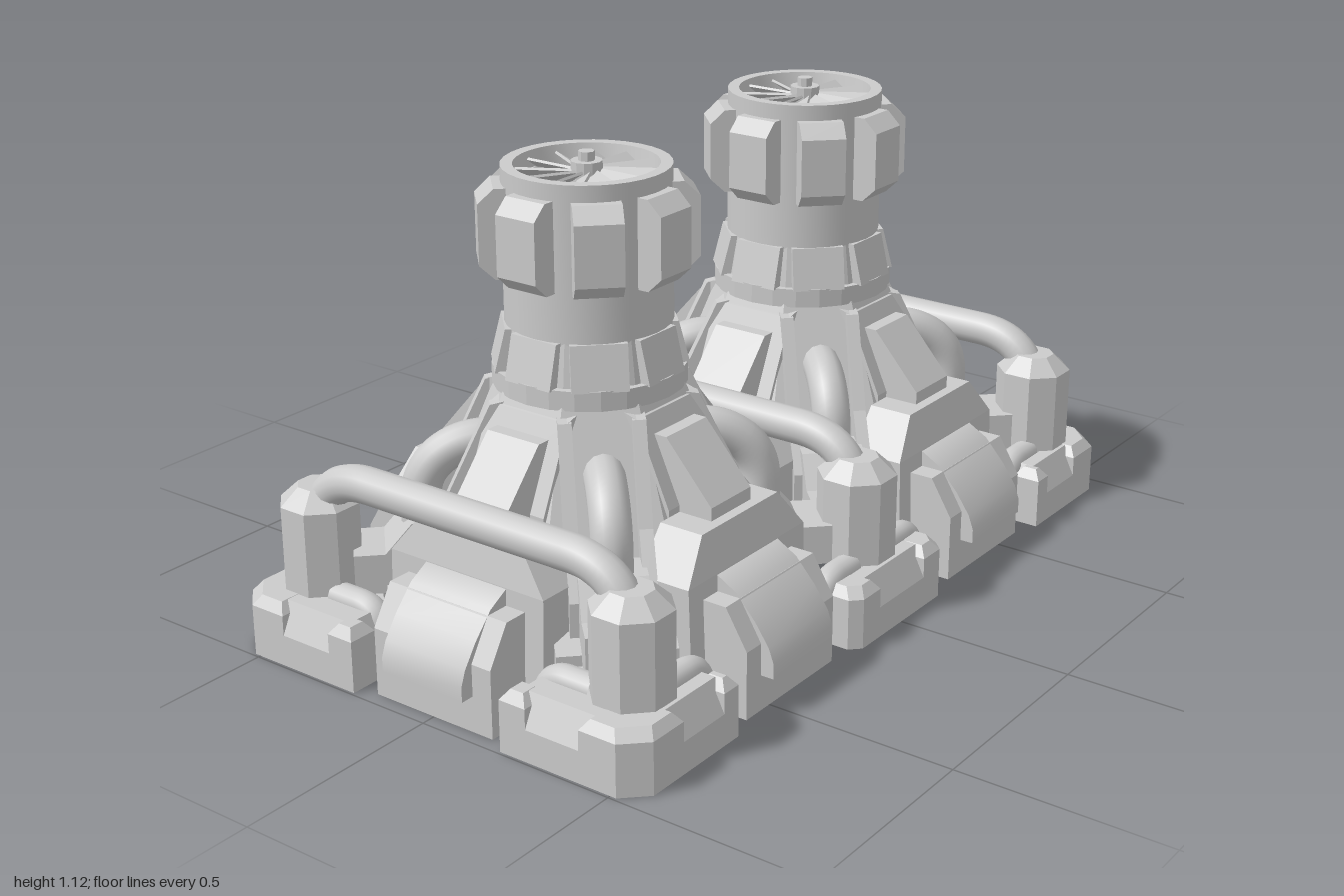
import * as THREE from 'three';
import { toCreasedNormals } from 'three/addons/utils/BufferGeometryUtils.js';
import { ConvexGeometry } from 'three/addons/geometries/ConvexGeometry.js';

const grey = new THREE.MeshStandardMaterial({ color: 0xcccccc });
const flat = new THREE.MeshStandardMaterial({ color: 0xcccccc, flatShading: true });
const thin = new THREE.MeshStandardMaterial({ color: 0xcccccc, flatShading: true, side: THREE.DoubleSide });
const V = (x, y, z) => new THREE.Vector3(x, y, z);

function add(parent, name, geometry, material = flat) {
  const mesh = new THREE.Mesh(geometry, material);
  mesh.name = name;
  parent.add(mesh);
  return mesh;
}

function group(parent, name, angle = 0) {
  const g = new THREE.Group();
  g.name = name;
  g.rotation.y = angle;
  parent.add(g);
  return g;
}

// Drops the triangles lying on the lowest level, leaving a hollow shell
function hollow(geometry) {
  const p = geometry.attributes.position;
  geometry.computeBoundingBox();
  const floor = geometry.boundingBox.min.y + 1e-4;
  const kept = [];
  for (let i = 0; i < p.count; i += 3)
    if (Math.max(p.getY(i), p.getY(i + 1), p.getY(i + 2)) > floor)
      for (let k = i; k < i + 3; k++) kept.push(p.getX(k), p.getY(k), p.getZ(k));
  const g = new THREE.BufferGeometry();
  g.setAttribute('position', new THREE.Float32BufferAttribute(kept, 3));
  g.computeVertexNormals();
  return g;
}

// Side profile of [outward, y] points, extruded across x and facing +z
function slice(profile, width, offset = 0) {
  const shape = new THREE.Shape(profile.map(p => new THREE.Vector2(...p)));
  const g = new THREE.ExtrudeGeometry(shape, { depth: width, bevelEnabled: false });
  return g.translate(0, 0, -width / 2).rotateY(-Math.PI / 2).translate(offset, 0, 0);
}

// Hollow slab over a convex [x, z] outline with a bevelled top edge
function slab(outline, baseY, edgeY, topY, inset) {
  const n = outline.length;
  const cx = outline.reduce((s, p) => s + p[0], 0) / n;
  const cz = outline.reduce((s, p) => s + p[1], 0) / n;
  const pull = (v, c) => v - Math.sign(v - c) * Math.min(inset, Math.abs(v - c));
  return hollow(new ConvexGeometry(outline.flatMap(([x, z]) =>
    [V(x, baseY, z), V(x, edgeY, z), V(pull(x, cx), topY, pull(z, cz))])));
}

// Tube along straight runs with rounded corners
function pipe(points, radius, bend, segments = 28) {
  const path = new THREE.CurvePath();
  let from = points[0];
  for (let i = 1; i < points.length - 1; i++) {
    const p = points[i];
    const a = p.clone().add(points[i - 1].clone().sub(p).setLength(bend));
    const b = p.clone().add(points[i + 1].clone().sub(p).setLength(bend));
    path.add(new THREE.LineCurve3(from, a));
    path.add(new THREE.QuadraticBezierCurve3(a, p, b));
    from = b;
  }
  path.add(new THREE.LineCurve3(from, points[points.length - 1]));
  return new THREE.TubeGeometry(path, segments, radius, 14, false);
}

function octagon(top, bottom, y0, y1, open = false) {
  const k = 1 / Math.cos(Math.PI / 8);
  return new THREE.CylinderGeometry(top * k, bottom * k, y1 - y0, 8, 1, open)
    .rotateY(Math.PI / 8).translate(0, (y0 + y1) / 2, 0);
}

// Buttress and housing on one face of a tower; outer faces also get a rounded cover
function towerFace(tower, angle, outer) {
  const g = group(tower, 'towerFace', angle);
  add(g, 'buttress', slice([[0.18, 0.36], [0.18, 0.55], [0.265, 0.55], [0.385, 0.415], [0.385, 0.36]], 0.144));
  add(g, 'buttressBacking', slice([[0.18, 0.3], [0.18, 0.6], [0.215, 0.59], [0.3, 0.4], [0.3, 0.3]], 0.22));
  const housing = [];
  for (const s of [-1, 1])
    for (const [x, y, r] of [[0.215, 0, 0.44], [0.215, 0.29, 0.43], [0.14, 0.385, 0.41]])
      housing.push(V(s * x, y, 0.3), V(s * x, y, r));
  add(g, 'housing', hollow(new ConvexGeometry(housing)), thin);
  if (!outer) return;
  add(g, 'housingBlock', hollow(slice([[0.42, 0], [0.42, 0.25], [0.49, 0.25], [0.545, 0.16], [0.545, 0]], 0.33).toNonIndexed()), thin);
  const cover = slice([[0.4, 0.085], [0.4, 0.29], [0.43, 0.288], [0.48, 0.26], [0.53, 0.205], [0.565, 0.155], [0.578, 0.12], [0.578, 0.085]], 0.226);
  add(g, 'roundedCover', toCreasedNormals(cover, 0.6), grey);
}

// Ribs, bracket and bent pipe on one diagonal of a tower
function towerDiagonal(tower, angle) {
  const g = group(tower, 'towerDiagonal', angle);
  for (const s of [-1, 1])
    add(g, 'rib', slice([[0.18, 0.3], [0.18, 0.6], [0.23, 0.59], [0.33, 0.38], [0.42, 0.26], [0.42, 0.12], [0.34, 0.12]], 0.03, s * 0.08));
  add(g, 'bracket', slice([[0.34, 0.1], [0.34, 0.32], [0.41, 0.31], [0.47, 0.24], [0.54, 0.24], [0.54, 0.146], [0.47, 0.146], [0.47, 0.1]], 0.15));
  add(g, 'bracketFoot', slice([[0.36, 0.08], [0.36, 0.2], [0.47, 0.165], [0.47, 0.08]], 0.26));
  add(g, 'bentPipe', pipe([V(0, 0.475, 0.17), V(0, 0.475, 0.3), V(0, 0.4, 0.385), V(0, 0.26, 0.385)], 0.046, 0.06), grey);
}

function towerHead(tower) {
  const g = group(tower, 'head');
  // Hollow smooth cylinder with a recessed top
  const wall = [[0.187, 0.65], [0.187, 1.1], [0.16, 1.1], [0.15, 1.04], [0.001, 1.04]];
  const lathe = new THREE.LatheGeometry(wall.map(p => new THREE.Vector2(...p)), 32);
  add(g, 'barrel', toCreasedNormals(lathe, 0.5), grey);
  add(g, 'collar', new THREE.CylinderGeometry(0.187, 0.203, 0.1, 16).translate(0, 0.7, 0));
  add(g, 'collarRing', new THREE.CylinderGeometry(0.218, 0.218, 0.045, 24).translate(0, 0.631, 0));
  for (let i = 0; i < 8; i++) {
    const side = group(g, 'headSide', i * Math.PI / 4);
    const block = [[0.15, 0.86], [0.15, 1.063], [0.205, 1.063], [0.24, 1.03], [0.24, 0.893], [0.205, 0.86]];
    add(side, 'headBlock', slice(block, 0.106));
    add(side, 'collarWedge', slice([[0.15, 0.65], [0.15, 0.75], [0.19, 0.75], [0.215, 0.65]], 0.125));
  }
  // Fan
  for (let i = 0; i < 12; i++) {
    const spoke = group(g, 'fanSpoke', i * Math.PI / 6);
    const blade = add(spoke, 'fanBlade', new THREE.BoxGeometry(0.035, 0.006, 0.125));
    blade.position.set(0, 1.075, 0.092);
    blade.rotation.z = 0.6;
  }
  add(g, 'fanHub', new THREE.CylinderGeometry(0.035, 0.035, 0.065, 12).translate(0, 1.072, 0));
  add(g, 'fanPin', new THREE.CylinderGeometry(0.018, 0.018, 0.03, 8).translate(0, 1.11, 0));
}

function makeTower(root, side) {
  const tower = group(root, side > 0 ? 'leftTower' : 'rightTower');
  tower.position.x = side * 0.42;
  add(tower, 'upperBody', octagon(0.2, 0.33, 0.3, 0.615, true), thin);
  add(tower, 'lowerBody', octagon(0.33, 0.4, 0.05, 0.3, true), thin);
  for (let i = 0; i < 4; i++) {
    towerFace(tower, i * Math.PI / 2, i !== (side > 0 ? 3 : 1));
    towerDiagonal(tower, (i + 0.5) * Math.PI / 2);
  }
  towerHead(tower);
}

// Octagonal tank with its small elbow pipes
function makeTank(root, x, z) {
  const g = group(root, 'tank');
  g.position.set(x, 0, z);
  add(g, 'tankBody', octagon(0.086, 0.086, 0.144, 0.345));
  add(g, 'tankCap', octagon(0.046, 0.086, 0.345, 0.385));
  const sz = Math.sign(z), sx = Math.sign(x);
  const out = 0.03;
  for (const d of sx ? [-sx] : [-1, 1])
    add(g, 'elbowPipe', pipe([V(d * 0.07, 0.142, sz * out), V(d * 0.19, 0.142, sz * out), V(d * 0.19, 0.06, sz * out)], 0.032, 0.06), grey);
  if (sx)
    add(g, 'elbowPipe', pipe([V(sx * out, 0.142, -sz * 0.07), V(sx * out, 0.142, -sz * 0.2), V(sx * out, 0.06, -sz * 0.2)], 0.032, 0.06), grey);
}

// Base block with sloping edges, and raised lips that leave a notch in each outer side
function makeBase(root, name, outline, lips, sx, sz) {
  const g = group(root, name);
  const flip = points => points.map(([x, z]) => [sx * x, sz * z]);
  add(g, 'blockBody', slab(flip(outline), 0, 0.075, 0.145, 0.035), thin);
  for (const lip of lips) add(g, 'blockLip', slab(flip(lip), 0.074, 0.122, 0.146, 0.018), thin);
}

export function createModel() {
  const root = new THREE.Group();
  root.name = 'twinTowerMachine';
  for (const s of [-1, 1]) makeTower(root, s);

  const corner = [[0.65, 0.57], [0.94, 0.57], [0.993, 0.515], [0.993, 0.21], [0.88, 0.21], [0.65, 0.44]];
  const cornerLips = [
    [[0.84, 0.57], [0.94, 0.57], [0.993, 0.515], [0.993, 0.42], [0.92, 0.42], [0.84, 0.5]],
    [[0.65, 0.57], [0.7, 0.57], [0.7, 0.5], [0.65, 0.5]],
    [[0.92, 0.21], [0.993, 0.21], [0.993, 0.28], [0.92, 0.28]],
  ];
  const middle = [[-0.19, 0.4], [0.19, 0.4], [0.19, 0.545], [0.165, 0.57], [-0.165, 0.57], [-0.19, 0.545]];
  const middleLips = [-1, 1].map(s =>
    [[0.095, 0.5], [0.13, 0.44], [0.19, 0.44], [0.19, 0.545], [0.165, 0.57], [0.095, 0.57]].map(([x, z]) => [s * x, z]));

  for (const sz of [-1, 1]) {
    for (const sx of [-1, 1]) makeBase(root, 'cornerBlock', corner, cornerLips, sx, sz);
    makeBase(root, 'middleBlock', middle, middleLips, 1, sz);
    for (const x of [-0.84, 0, 0.84]) makeTank(root, x, sz * 0.44);
  }

  // Long pipes joining the front and back tanks
  for (const x of [-0.84, 0, 0.84])
    add(root, 'longPipe', pipe([V(x, 0.24, 0.44), V(x, 0.417, 0.44), V(x, 0.417, -0.44), V(x, 0.24, -0.44)], 0.042, 0.16, 72), grey);
  return root;
}
